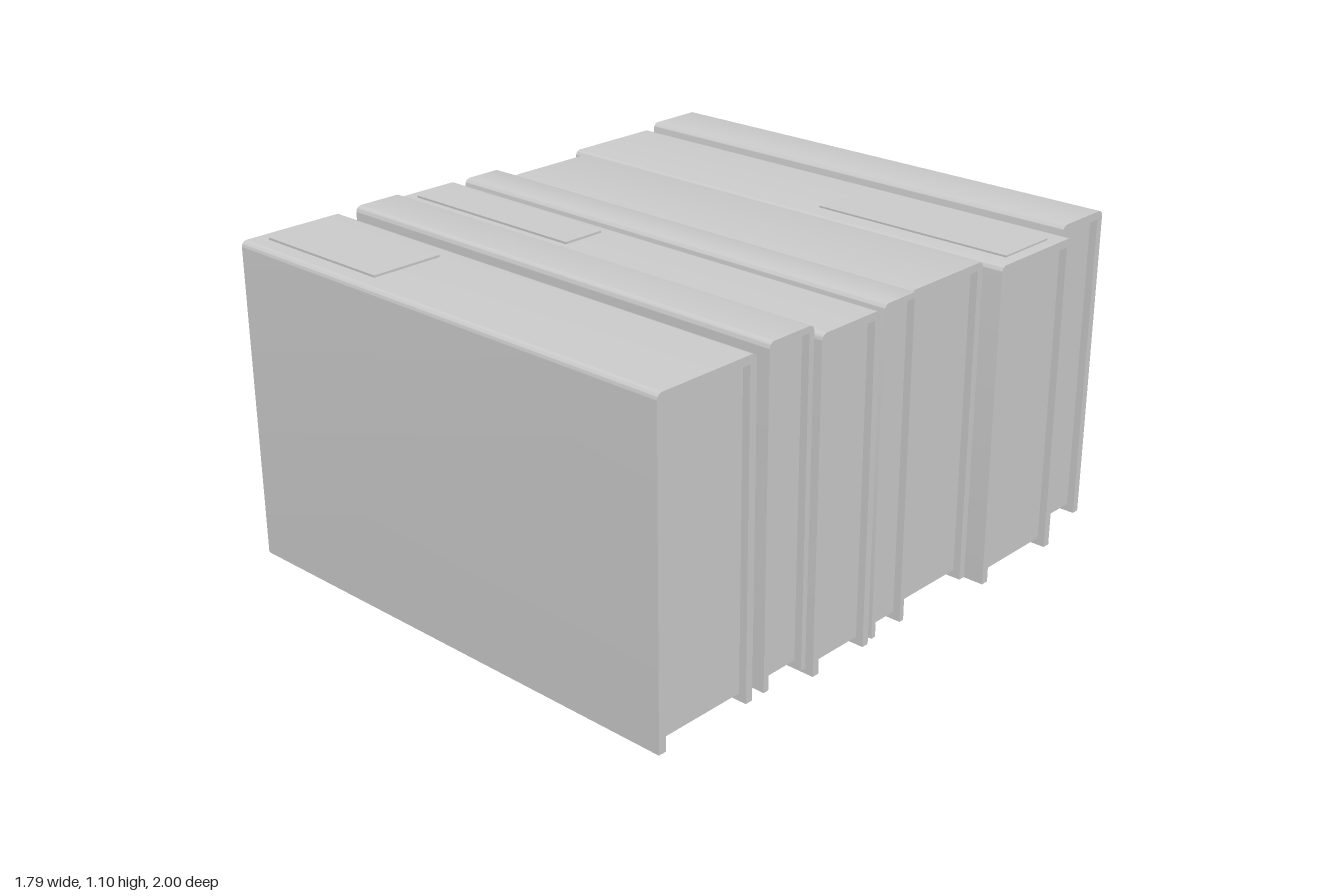
import * as THREE from 'three';
import { toCreasedNormals } from 'three/addons/utils/BufferGeometryUtils.js';

const material = new THREE.MeshStandardMaterial({ color: 0xcccccc });

// Each book stands spine up; label = [x0, x1, z0, z1, height] on the spine
const books = [
  { x: [-0.9, 0.83], y: [0.015, 1.07], z: [0.62, 1.0], t: 0.027, label: [-0.85, -0.35, 0.69, 0.935, 0.007] },
  { x: [-0.85, 0.855], y: [0.04, 1.097], z: [0.417, 0.6], t: 0.02 },
  { x: [-0.89, 0.875], y: [0.015, 1.07], z: [0.152, 0.407], t: 0.025, label: [-0.845, -0.16, 0.205, 0.355, 0.007] },
  { x: [-0.855, 0.88], y: [0.03, 1.083], z: [-0.013, 0.142], t: 0.018 },
  { x: [-0.81, 0.84], y: [0.015, 1.065], z: [-0.383, -0.023], t: 0.025 },
  { x: [-0.895, 0.895], y: [0, 1.055], z: [-0.777, -0.404], t: 0.027, label: [0.14, 0.855, -0.7, -0.48, 0.006] },
  { x: [-0.875, 0.86], y: [0.03, 1.082], z: [-1, -0.779], t: 0.026 },
];

function box(name, [x0, x1], [y0, y1], [z0, z1]) {
  const mesh = new THREE.Mesh(new THREE.BoxGeometry(x1 - x0, y1 - y0, z1 - z0), material);
  mesh.position.set((x0 + x1) / 2, (y0 + y1) / 2, (z0 + z1) / 2);
  mesh.name = name;
  return mesh;
}

// U-shaped case: two boards joined by a spine with rounded edges
function makeCover({ x, y, z, t }) {
  const w = (z[1] - z[0]) / 2, r = 0.02;
  const s = new THREE.Shape();
  s.moveTo(-w, y[0]);
  s.lineTo(-w + t, y[0]);
  s.lineTo(-w + t, y[1] - t);
  s.lineTo(w - t, y[1] - t);
  s.lineTo(w - t, y[0]);
  s.lineTo(w, y[0]);
  s.lineTo(w, y[1] - r);
  s.absarc(w - r, y[1] - r, r, 0, Math.PI / 2);
  s.lineTo(-w + r, y[1]);
  s.absarc(-w + r, y[1] - r, r, Math.PI / 2, Math.PI);
  s.closePath();
  const geometry = new THREE.ExtrudeGeometry(s, { depth: x[1] - x[0], bevelEnabled: false, curveSegments: 5 });
  geometry.rotateY(Math.PI / 2);
  geometry.translate(x[0], 0, (z[0] + z[1]) / 2);
  const mesh = new THREE.Mesh(toCreasedNormals(geometry, 0.6), material);
  mesh.name = 'cover';
  return mesh;
}

export function createModel() {
  const row = new THREE.Group();
  row.name = 'bookRow';
  books.forEach((b, i) => {
    const book = new THREE.Group();
    book.name = `book${i + 1}`;
    book.add(makeCover(b));
    // Page block, set back from the open edges of the case
    const inset = 0.025;
    book.add(box('pages', [b.x[0] + inset, b.x[1] - inset],
      [b.y[0] + inset, b.y[1] - b.t], [b.z[0] + b.t, b.z[1] - b.t]));
    // Raised plate on the spine
    if (b.label) {
      const [x0, x1, z0, z1, h] = b.label;
      book.add(box('spineLabel', [x0, x1], [b.y[1] - 0.005, b.y[1] + h], [z0, z1]));
    }
    row.add(book);
  });
  return row;
}
